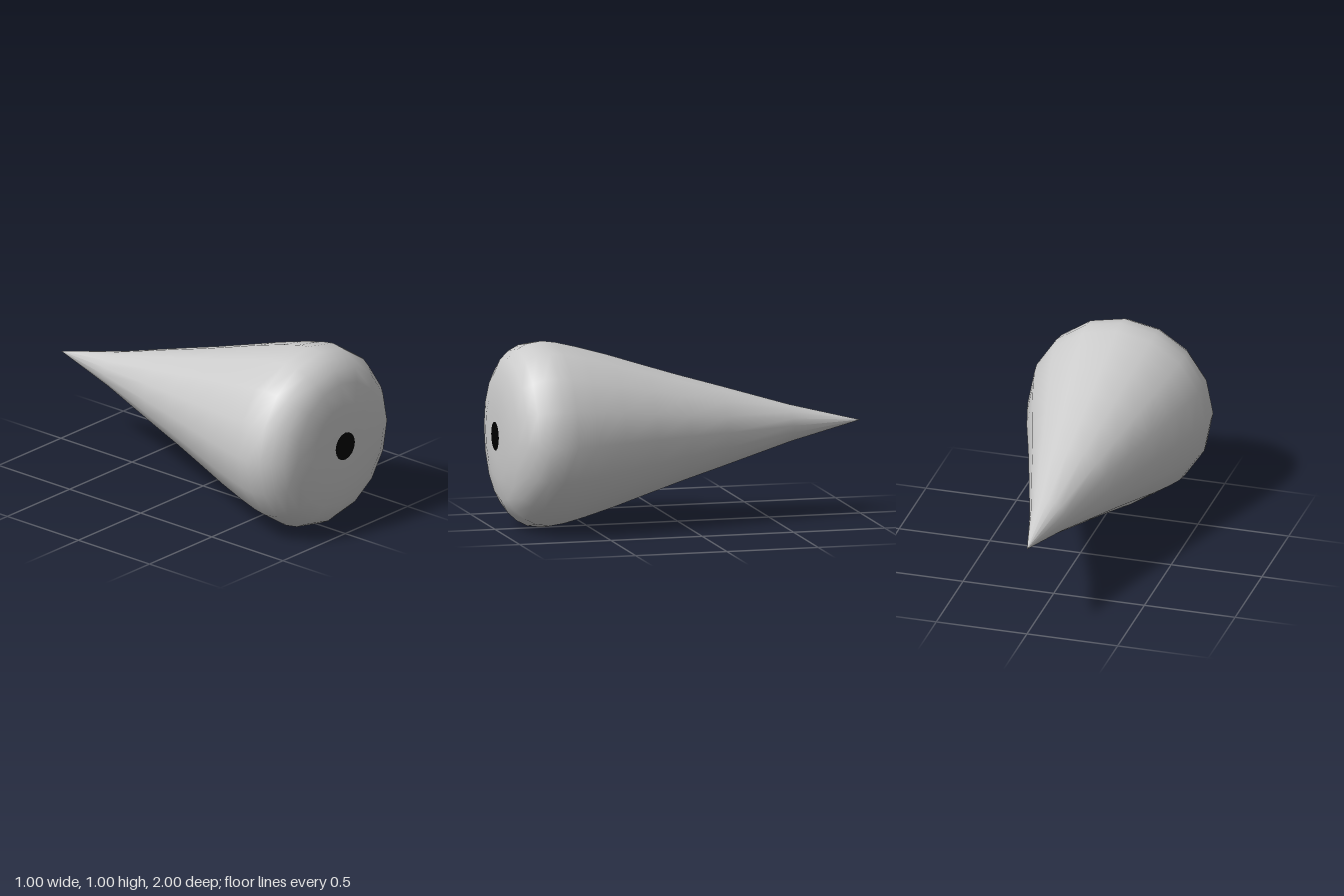
import * as THREE from 'three';

const SIDES = 16;

export function createModel() {
  const model = new THREE.Group();

  // Teardrop body: profile of [radius, z] from the rear tip to the blunt front
  const profile = [
    [0, -1], [0.1, -0.61], [0.22, -0.22], [0.286, 0], [0.35, 0.2], [0.412, 0.39],
    [0.46, 0.555], [0.489, 0.67], [0.5, 0.745], [0.489, 0.823], [0.46, 0.88],
    [0.415, 0.93], [0.345, 0.968], [0.23, 0.99], [0.12, 0.997], [0, 0.998],
  ].map(([r, z]) => new THREE.Vector2(r, z));
  const body = new THREE.Mesh(
    new THREE.LatheGeometry(profile, SIDES).rotateX(Math.PI / 2),
    new THREE.MeshStandardMaterial({ color: 0xcccccc })
  );
  body.name = 'teardropBody';
  body.position.y = 0.5;
  model.add(body);

  // Dark round spot in the middle of the blunt end
  const spot = new THREE.Mesh(
    new THREE.CircleGeometry(0.077, SIDES),
    new THREE.MeshStandardMaterial({ color: 0x000000 })
  );
  spot.name = 'frontSpot';
  spot.position.set(0, 0.5, 1);
  model.add(spot);

  return model;
}
